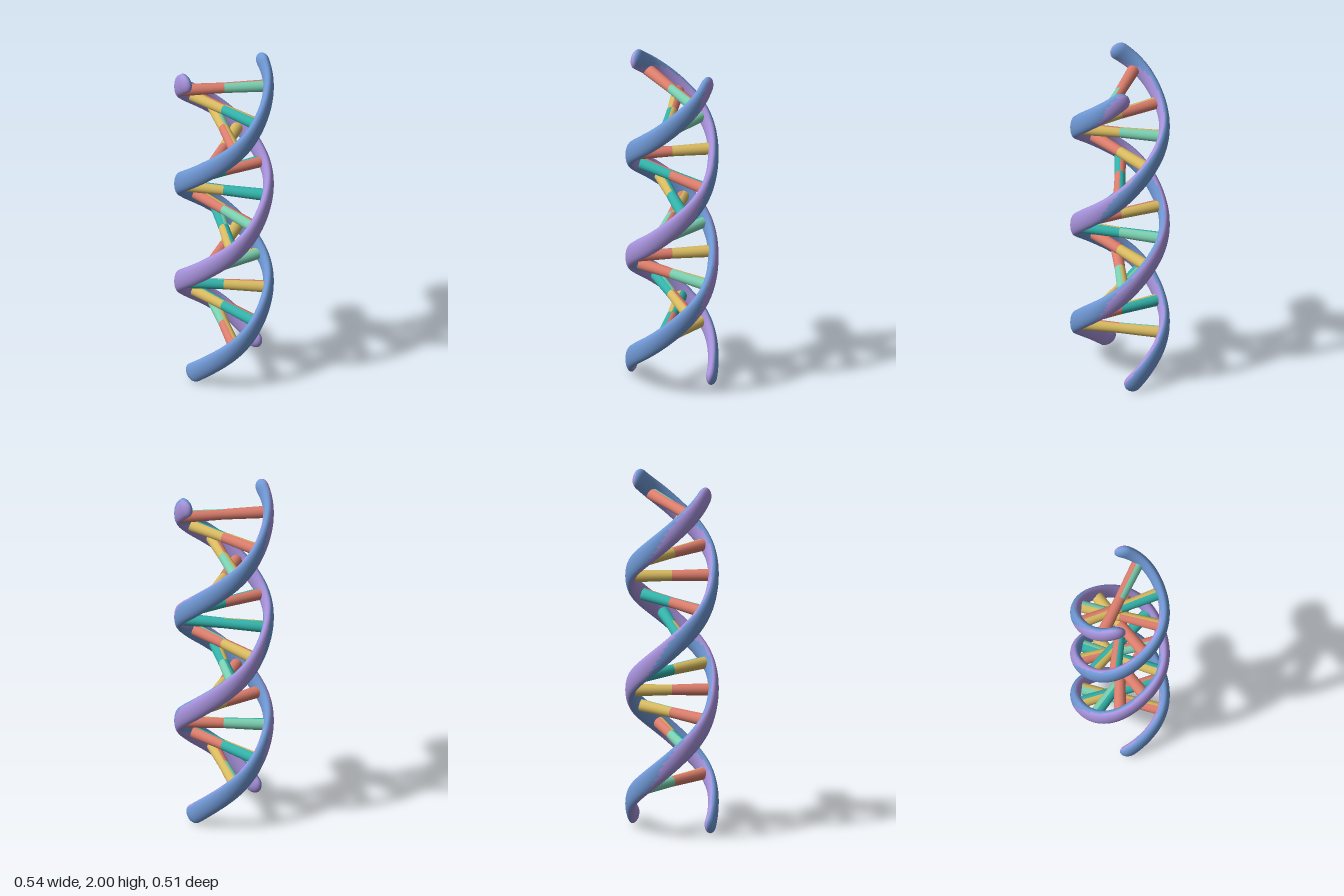
import * as THREE from 'three';

const PITCH = 1.306, Y0 = 0.106; // height of one turn, height where the blue strand faces front
const Y_LOW = 0.052, Y_HIGH = 1.948, CAP = 0.033;
const HALF_THICK = 0.029, HALF_WIDTH = 0.055;

const mat = (name, color) => {
  const m = new THREE.MeshStandardMaterial({ color });
  m.name = name;
  return m;
};

// Centre line of a strand: a slightly squared, slightly oval helix
const angleAt = (y, phase) => ((y - Y0) / PITCH) * Math.PI * 2 + phase;
function helix(y, phase) {
  const a = angleAt(y, phase);
  const k = 1 + 0.035 * Math.sin(2 * a) ** 2;
  return new THREE.Vector3(0.239 * k * Math.sin(a), y, 0.224 * k * Math.cos(a));
}

// Flattened tube with rounded ends; faces turned to the rear take the second colour
function strandGeometry(phase) {
  const rings = [], M = 24, N = 150, C = 8;
  for (let i = 0; i < C; i++) {
    const u = Math.cos((i / C) * Math.PI / 2);
    rings.push([Y_LOW - CAP * u, Math.max(0.01, Math.sqrt(1 - u * u))]);
  }
  for (let i = 0; i <= N; i++) rings.push([Y_LOW + (Y_HIGH - Y_LOW) * i / N, 1]);
  for (let i = 1; i <= C; i++) {
    const u = Math.sin((i / C) * Math.PI / 2);
    rings.push([Y_HIGH + CAP * u, Math.max(0.01, Math.sqrt(1 - u * u))]);
  }
  const pos = [], main = [], rear = [];
  rings.forEach(([y, k], i) => {
    const c = helix(y, phase);
    const t = helix(y + 0.002, phase).sub(helix(y - 0.002, phase)).normalize();
    const n = new THREE.Vector3(-t.z, 0, t.x).normalize();
    const b = t.clone().cross(n);
    for (let j = 0; j < M; j++) {
      const p = (j / M) * Math.PI * 2;
      const v = c.clone()
        .addScaledVector(n, HALF_THICK * k * Math.cos(p))
        .addScaledVector(b, HALF_WIDTH * k * Math.sin(p));
      pos.push(v.x, v.y, v.z);
      if (i === rings.length - 1) continue;
      const j2 = (j + 1) % M;
      const A = i * M + j, B = i * M + j2, D = A + M, E = B + M;
      const q = ((j + 0.5) / M) * Math.PI * 2;
      const face = n.clone().multiplyScalar(Math.cos(q) / HALF_THICK)
        .addScaledVector(b, Math.sin(q) / HALF_WIDTH).normalize();
      const facesBack = -face.z - 0.25 * face.x > 0.4;
      (facesBack ? rear : main).push(A, B, D, B, E, D);
    }
  });
  const g = new THREE.BufferGeometry();
  g.setAttribute('position', new THREE.Float32BufferAttribute(pos, 3));
  g.setIndex([...main, ...rear]);
  g.addGroup(0, main.length, 0);
  g.addGroup(main.length, rear.length, 1);
  g.computeVertexNormals();
  return g;
}

// Half a rung, from the axis out to a strand, with a front and a rear colour
function halfRung(y, phase, twist, front, rear) {
  const end = helix(y, phase).setY(0);
  const len = end.length();
  const dir = end.normalize().applyAxisAngle(new THREE.Vector3(0, 1, 0), twist);
  const g = new THREE.CylinderGeometry(0.034, 0.029, len, 16, 1, true);
  g.clearGroups();
  g.addGroup(0, 48, 0);
  g.addGroup(48, 48, 1);
  g.translate(0, len / 2, 0);
  const x = new THREE.Vector3(-dir.z, 0, dir.x);
  if (x.z < 0) x.negate();
  g.applyMatrix4(new THREE.Matrix4().makeBasis(x, dir, x.clone().cross(dir)));
  const mesh = new THREE.Mesh(g, [front, rear]);
  mesh.position.y = y;
  return mesh;
}

export function createModel() {
  const model = new THREE.Group();
  model.name = 'doubleHelix';
  const blue = mat('blue', 0x7099d6), purple = mat('purple', 0xa893dd);
  const colours = {
    R: mat('coral', 0xdb7d6c),
    G: mat('mint', 0x7bcfb0),
    Y: mat('yellow', 0xd8ba60),
    T: mat('teal', 0x32b2aa),
  };

  // Two strands, half a turn apart
  const strandA = new THREE.Mesh(strandGeometry(0), [blue, purple]);
  strandA.name = 'blueStrand';
  const strandB = new THREE.Mesh(strandGeometry(Math.PI), [purple, blue]);
  strandB.name = 'purpleStrand';
  model.add(strandA, strandB);

  // Rungs: height, front and rear colours of the blue end and the purple end, extra twist
  const rungs = [
    [1.845, 'GRRR', 0.14], [1.7, 'TYYR', 0.05], [1.575, 'RYYG'], [1.445, 'RRYY'], [1.29, 'TRRT'],
    [1.16, 'YTTT'], [1.03, 'RYGR'], [0.905, 'TGYT'], [0.79, 'YYRR'], [0.66, 'GYRR'],
    [0.53, 'YRTG'], [0.39, 'TRYT'], [0.265, 'RYGY'],
  ];
  rungs.forEach(([y, code, twist = 0], i) => {
    const [af, ab, bf, bb] = [...code].map((c) => colours[c]);
    const rung = new THREE.Group();
    rung.name = `rung${i + 1}`;
    const a = halfRung(y, 0, twist, af, ab), b = halfRung(y, Math.PI, twist, bf, bb);
    a.name = 'rungHalfBlueEnd';
    b.name = 'rungHalfPurpleEnd';
    rung.add(a, b);
    model.add(rung);
  });
  return model;
}
